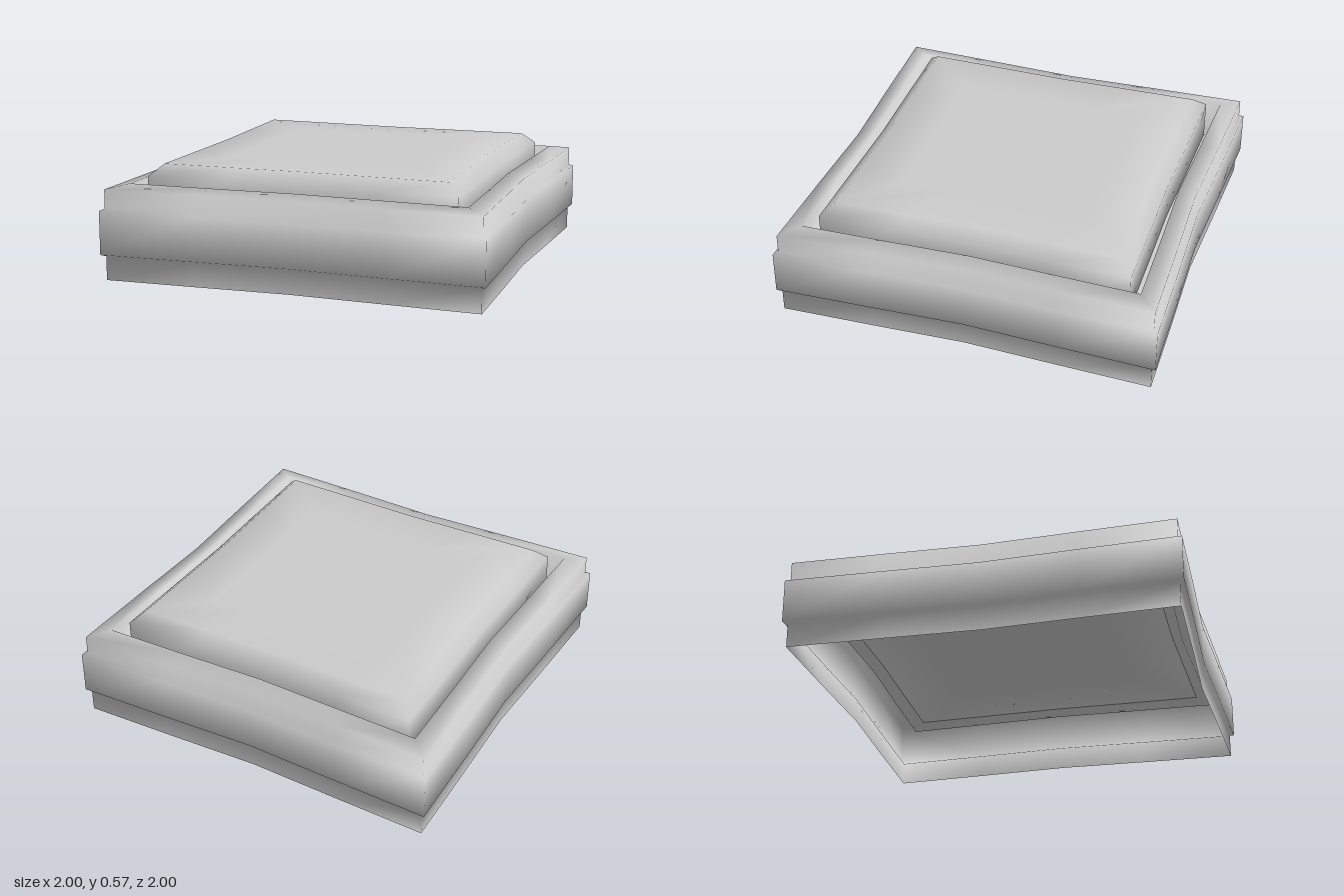
import * as THREE from 'three';

const SEGMENTS = 4; // points per side
const PINCH = [0, 0.45, 1, 0.45];

// Square ring whose sides bow inwards towards their middles
function ring([half, y, bow]) {
  const points = [];
  for (let side = 0; side < 4; side++) {
    const turn = side * Math.PI / 2;
    for (let i = 0; i < SEGMENTS; i++) {
      const along = half * (-1 + 2 * i / SEGMENTS);
      const out = half - bow * PINCH[i];
      points.push(new THREE.Vector3(
        along * Math.cos(turn) + out * Math.sin(turn),
        y,
        out * Math.cos(turn) - along * Math.sin(turn)
      ));
    }
  }
  return points;
}

// Smooth normals where every face counts equally, so narrow steps look soft
function softNormals(points, index) {
  const normals = points.map(() => new THREE.Vector3());
  const face = new THREE.Triangle();
  const normal = new THREE.Vector3();
  for (let i = 0; i < index.length; i += 3) {
    const corners = index.slice(i, i + 3);
    face.set(...corners.map((c) => points[c])).getNormal(normal);
    corners.forEach((c) => normals[c].add(normal));
  }
  return normals.flatMap((v) => v.normalize().toArray());
}

// Skin through a stack of rings [half width, height, bow]
function loft(name, profile) {
  const n = SEGMENTS * 4;
  const points = profile.flatMap(ring);
  const index = [];
  for (let r = 0; r < profile.length - 1; r++) {
    for (let j = 0; j < n; j++) {
      const a = r * n + j, b = r * n + (j + 1) % n;
      if (profile[r][0] > 0) index.push(a, b, b + n);
      if (profile[r + 1][0] > 0) index.push(a, b + n, a + n);
      else index.push(a, b, a + n);
    }
  }
  const geometry = new THREE.BufferGeometry().setFromPoints(points);
  geometry.setIndex(index);
  geometry.setAttribute('normal', new THREE.Float32BufferAttribute(softNormals(points, index), 3));
  const material = new THREE.MeshStandardMaterial({ color: 0xcccccc, side: THREE.DoubleSide });
  const mesh = new THREE.Mesh(geometry, material);
  mesh.name = name;
  return mesh;
}

export function createModel() {
  const group = new THREE.Group();
  group.name = 'squareBase';

  // Hollow frame, open below: foot, projecting band, upper wall, rim and deep inner groove
  group.add(loft('frame', [
    [0.978, 0, 0.033],
    [0.978, 0.124, 0.033],
    [1.0, 0.134, 0.036],
    [1.0, 0.36, 0.036],
    [0.978, 0.37, 0.033],
    [0.978, 0.468, 0.033],
    [0.882, 0.487, 0.027],
    [0.882, 0.285, 0.027],
    [0.815, 0.312, 0.015],
  ]));

  // Closed panel standing in the groove: flat underside, sides, bevelled edge and top
  group.add(loft('raisedPanel', [
    [0, 0.312, 0],
    [0.5, 0.312, 0],
    [0.815, 0.312, 0.015],
    [0.815, 0.515, 0.015],
    [0.75, 0.574, 0.015],
    [0.5, 0.574, 0],
    [0, 0.574, 0],
  ]));

  return group;
}
